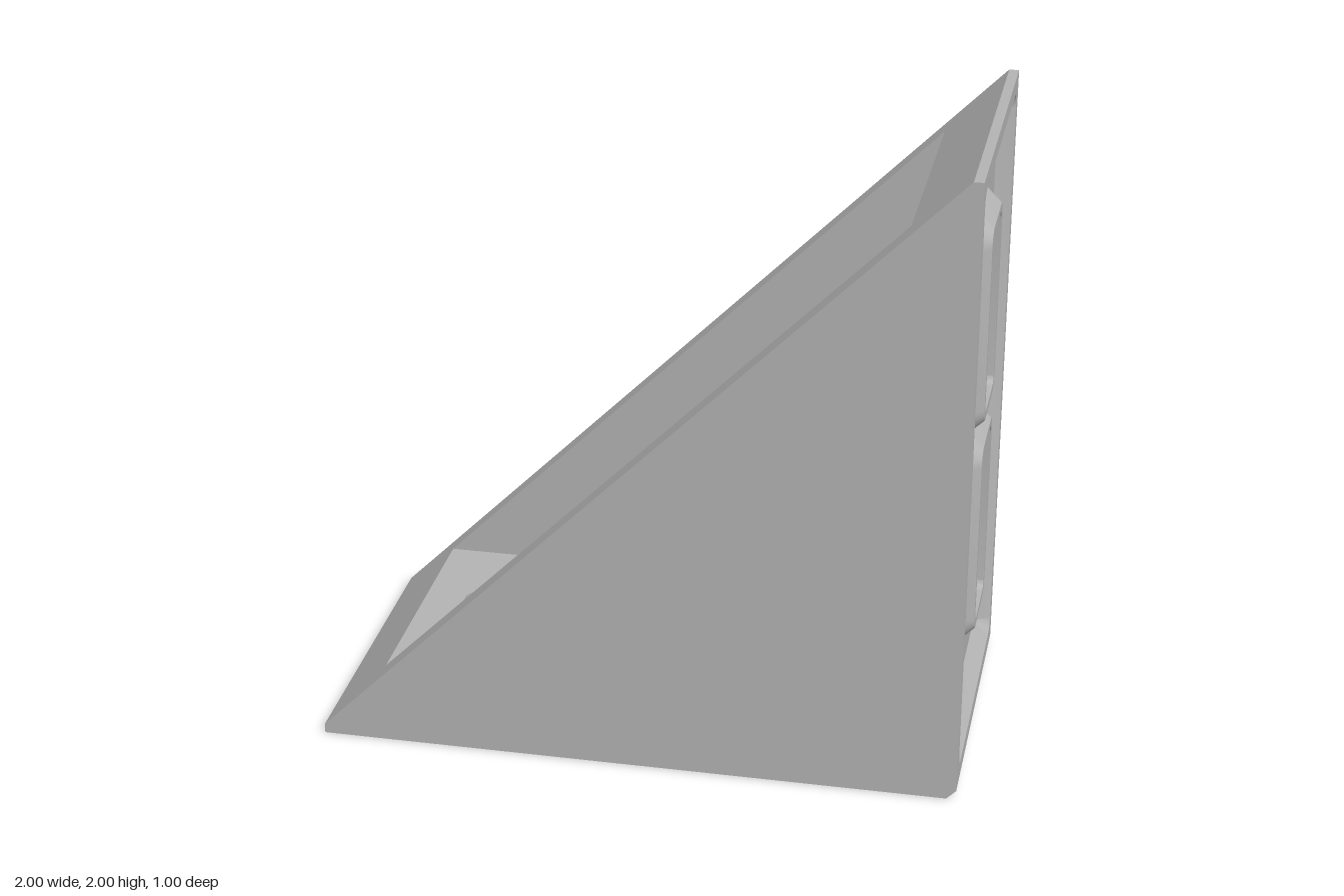
import * as THREE from 'three';
import { toCreasedNormals } from 'three/addons/utils/BufferGeometryUtils.js';

const V = (x, y, z) => new THREE.Vector3(x, y, z);
const rim = 0.03;      // width of the blunt edges
const wall = 0.21;     // thickness of the two perforated legs
const depth = 0.05;    // recess depth
const inner = 0.405;   // half width of the cavity

// Rounded rectangle centred on x = 0, counter-clockwise
function roundRect(halfW, y0, y1, r, seg = 8) {
  const pts = [];
  const corners = [[halfW - r, y0 + r], [halfW - r, y1 - r], [-halfW + r, y1 - r], [-halfW + r, y0 + r]];
  corners.forEach(([cx, cy], k) => {
    for (let i = 0; i <= seg; i++) {
      const a = (k - 1 + i / seg) * Math.PI / 2;
      pts.push(new THREE.Vector2(cx + r * Math.cos(a), cy + r * Math.sin(a)));
    }
  });
  return pts;
}

const rect = (halfW, y0, y1) =>
  [[-halfW, y0], [halfW, y0], [halfW, y1], [-halfW, y1]].map(p => new THREE.Vector2(...p));

// Flat sheet with optional holes
function sheet(outline, holes = [], z = 0) {
  const shape = new THREE.Shape(outline);
  holes.forEach(h => shape.holes.push(new THREE.Path(h)));
  return new THREE.ShapeGeometry(shape).translate(0, 0, z);
}

// Band of faces joining two outlines at different heights
function band(a, za, b, zb) {
  const pos = [], n = a.length;
  const push = (p, z) => pos.push(p.x, p.y, z);
  for (let i = 0; i < n; i++) {
    const j = (i + 1) % n;
    push(a[i], za); push(a[j], za); push(b[j], zb);
    push(a[i], za); push(b[j], zb); push(b[i], zb);
  }
  const g = new THREE.BufferGeometry();
  g.setAttribute('position', new THREE.Float32BufferAttribute(pos, 3));
  return toCreasedNormals(g, 0.6);
}

export function createModel() {
  const model = new THREE.Group();
  model.name = 'angleBracket';
  const grey = new THREE.MeshStandardMaterial({ color: 0xb4b4b4 });
  grey.name = 'grey';

  // Sets a flat part on a plane given its origin, up direction and facing
  function place(name, geometry, origin, up, facing) {
    const y = up.clone().normalize(), z = facing.clone().normalize();
    const m = new THREE.Matrix4().makeBasis(y.clone().cross(z), y, z).setPosition(origin);
    const mesh = new THREE.Mesh(geometry.applyMatrix4(m), grey);
    mesh.name = name;
    model.add(mesh);
  }

  // Outlines of the two openings, measured from the corner of the bracket
  const openings = [0.695, 1.405].map(c => ({
    base: roundRect(0.2, c - 0.354, c + 0.354, 0.1),
    top: roundRect(0.148, c - 0.31, c + 0.31, 0.05),
    hole: roundRect(0.12, c - 0.285, c + 0.285, 0.03),
  }));
  const recessTop = roundRect(0.45, 0.08, 1.95, 0.05);
  const recessBase = roundRect(0.4, 0.13, 1.9, 0.002);

  // Upright and base legs: recessed face, raised collars, through holes, inner face
  const legs = [
    ['upright', V(0, 1, 0), V(1, 0, 0)],
    ['base', V(-1, 0, 0), V(0, -1, 0)],
  ];
  for (const [leg, up, out] of legs) {
    const origin = V(1, 0, 0);
    const add = (name, g) => place(leg + name, g, origin, up, out);
    add('Rim', sheet(rect(0.5, rim, 2), [recessTop]));
    add('RecessBevel', band(recessTop, 0, recessBase, -depth));
    add('RecessFloor', sheet(recessBase, openings.map(o => o.base), -depth));
    for (const o of openings) {
      add('CollarBevel', band(o.base, -depth, o.top, 0));
      add('CollarTop', sheet(o.top, [o.hole]));
      add('HoleWall', band(o.hole, 0, o.hole, -wall));
    }
    place(leg + 'InnerFace', sheet(rect(inner, wall, 2 - wall + rim), openings.map(o => o.hole)),
      origin.clone().addScaledVector(out, -wall), up, out.clone().negate());
  }

  // Triangular cheeks, outside and inside
  const outer = [[-1, 0], [1 - rim, 0], [1, rim], [1, 2], [1 - rim, 2], [-1, rim]];
  const cavity = [[wall - rim - 1, wall], [1 - wall, wall], [1 - wall, 2 - wall + rim]];
  const cheek = (name, pts, z, s) =>
    place(name, sheet(pts.map(([x, y]) => new THREE.Vector2(x * s, y))), V(0, 0, z), V(0, 1, 0), V(0, 0, s));
  for (const s of [1, -1]) {
    cheek('outerCheek', outer, 0.5 * s, s);
    cheek('innerCheek', cavity, -inner * s, s);
  }

  // Sloping frame around the cavity mouth
  const q = Math.SQRT2;
  place('slopeFrame',
    sheet(rect(0.5, 0, (2 - rim) * q), [rect(inner, (wall - rim) * q, (2 - wall) * q)]),
    V(-1, rim, 0), V(1, 1, 0), V(-1, 1, 0));

  // Narrow blunt edges
  place('cornerChamfer', sheet(rect(0.5, 0, rim * q)), V(1 - rim, 0, 0), V(1, 1, 0), V(1, -1, 0));
  place('topEdge', sheet(rect(0.5, 0, rim)), V(1, 2, 0), V(-1, 0, 0), V(0, 1, 0));
  place('toeEdge', sheet(rect(0.5, 0, rim)), V(-1, rim, 0), V(0, -1, 0), V(-1, 0, 0));

  return model;
}
